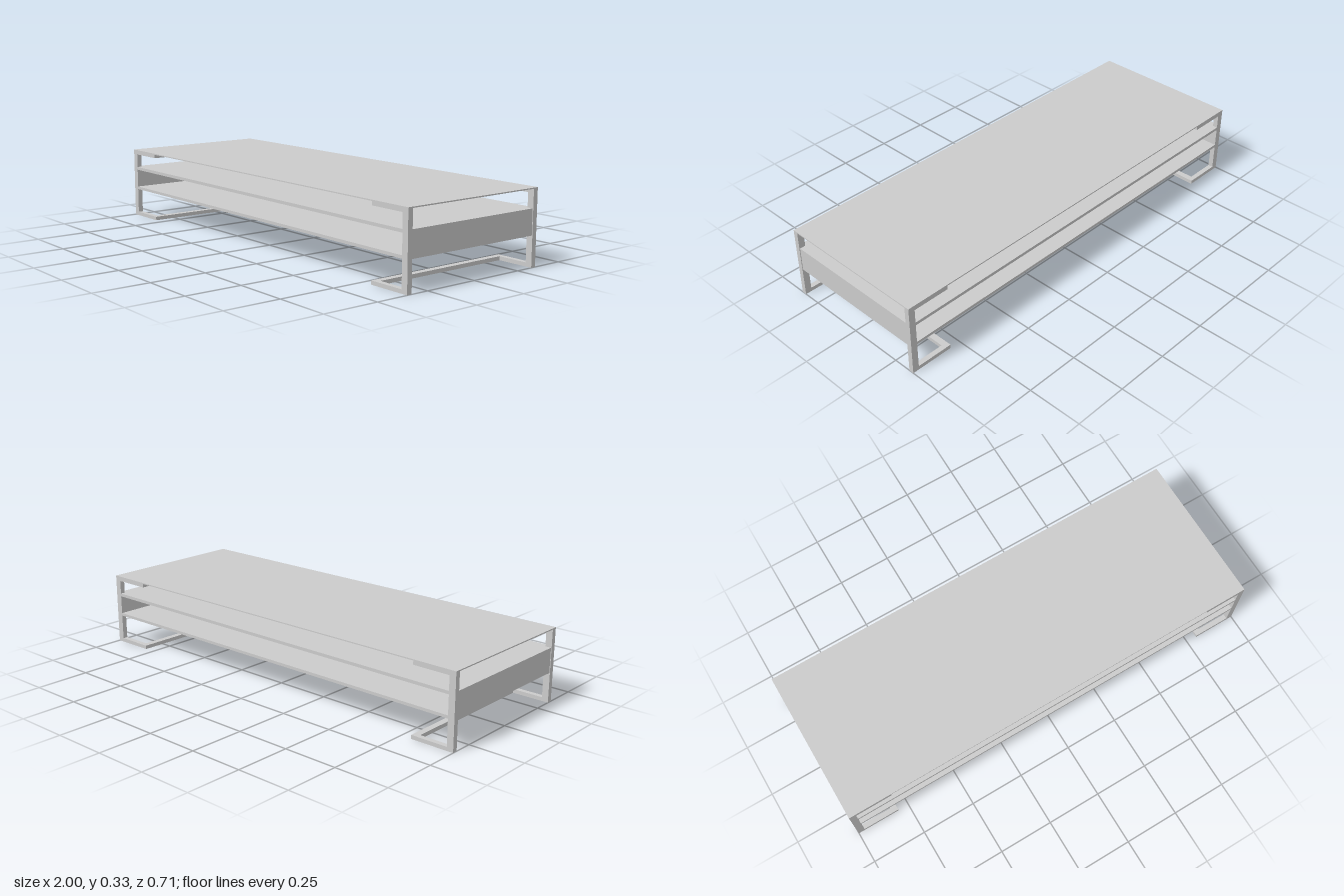
import * as THREE from 'three';

const material = new THREE.MeshStandardMaterial({ color: 0xcccccc, flatShading: true });

// Box given by its min and max on each axis
function slab(parent, name, [x0, x1], [y0, y1], [z0, z1]) {
  const mesh = new THREE.Mesh(new THREE.BoxGeometry(x1 - x0, y1 - y0, z1 - z0), material);
  mesh.position.set((x0 + x1) / 2, (y0 + y1) / 2, (z0 + z1) / 2);
  mesh.name = name;
  parent.add(mesh);
}

const span = (side, a, b) => (side > 0 ? [a, b] : [-b, -a]);

export function createModel() {
  const group = new THREE.Group();
  group.name = 'lowTable';
  const W = 1, D = 0.355, H = 0.33;
  const topY = 0.325, bar = 0.017, postX = 0.97, postZ = 0.332, reach = 0.8;

  // Thin table top
  slab(group, 'tableTop', [-W, W], [topY, H], [-D, D]);

  // Open compartment: two full-width shelves between the legs
  slab(group, 'upperShelf', [-postX, postX], [0.231, 0.245], [-D, D]);
  slab(group, 'lowerShelf', [-postX, postX], [0.133, 0.146], [-D, D]);

  for (const side of [1, -1]) {
    const frame = new THREE.Group();
    frame.name = side > 0 ? 'leftLegFrame' : 'rightLegFrame';
    group.add(frame);

    // Panel closing the end of the compartment
    slab(frame, 'sidePanel', span(side, postX, 0.997), [0.133, 0.245], [-postZ, postZ]);

    for (const face of [1, -1]) {
      const z = span(face, postZ, D);
      slab(frame, 'post', span(side, postX, W), [0, topY], z);
      slab(frame, 'footBar', span(side, reach, postX), [0, bar], z);
      slab(frame, 'topBar', span(side, reach, postX), [topY - bar, topY], z);
    }

    // Inner cross bars joining front and back
    const x = span(side, reach, reach + 0.028);
    slab(frame, 'footCrossBar', x, [0, bar], [-postZ, postZ]);
    slab(frame, 'topCrossBar', x, [topY - bar, topY], [-postZ, postZ]);
  }
  return group;
}
